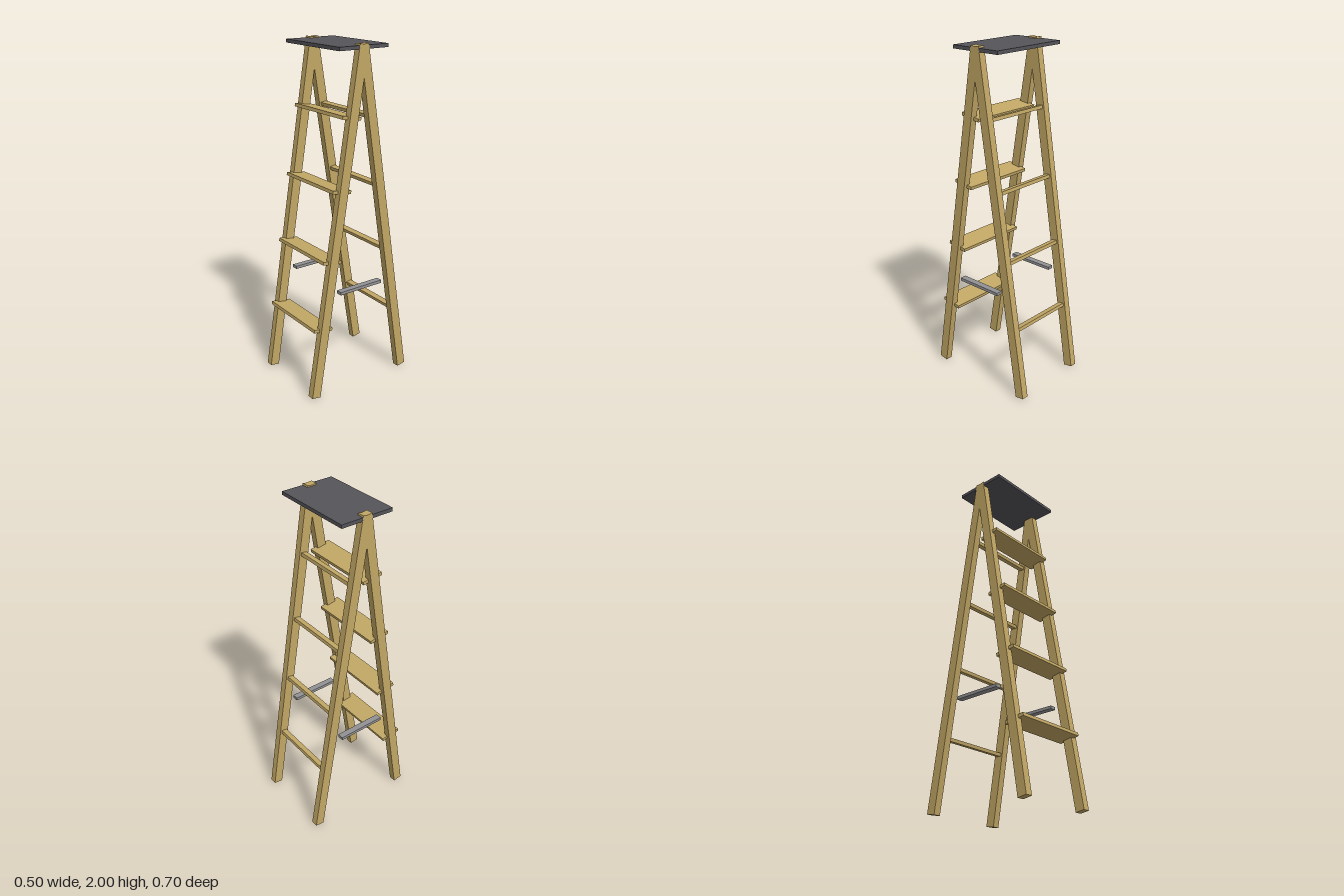
import * as THREE from 'three';

const wood = new THREE.MeshStandardMaterial({ color: 0xc2a765 });
wood.name = 'wood';
const darkPlastic = new THREE.MeshStandardMaterial({ color: 0x55545a });
darkPlastic.name = 'dark plastic';
const greyMetal = new THREE.MeshStandardMaterial({ color: 0x929294 });
greyMetal.name = 'grey metal';

const SPLAY = 0.16; // lean of each frame, in radians
const LEG_LENGTH = 2.017;
const STEP_HEIGHTS = [0.415, 0.815, 1.214, 1.613];

function addBox(parent, name, material, size, position) {
  const mesh = new THREE.Mesh(new THREE.BoxGeometry(...size), material);
  mesh.name = name;
  mesh.position.set(...position);
  parent.add(mesh);
  return mesh;
}

// A leaning frame: two legs with cross pieces square to them; side is 1 for front, -1 for back
function makeFrame(side, name, crossName, crossSize) {
  const frame = new THREE.Group();
  frame.name = name;
  for (const x of [-1, 1]) {
    addBox(frame, name + 'Leg', wood, [0.042, LEG_LENGTH, 0.056], [x * 0.2295, 0, 0]);
  }
  for (const y of STEP_HEIGHTS) {
    addBox(frame, crossName, wood, crossSize, [0, (y - 1) / Math.cos(SPLAY), 0]);
  }
  frame.position.set(0, 1, side * 0.161);
  frame.rotation.x = -side * SPLAY;
  return frame;
}

export function createModel() {
  const ladder = new THREE.Group();
  ladder.name = 'stepLadder';

  // Front frame with wide treads, back frame with narrow rungs
  ladder.add(makeFrame(1, 'front', 'tread', [0.46, 0.019, 0.125]));
  ladder.add(makeFrame(-1, 'back', 'rung', [0.42, 0.02, 0.035]));

  // Top platform, with the leg tops just showing through
  addBox(ladder, 'topPlatform', darkPlastic, [0.499, 0.02, 0.32], [0, 1.98, 0]);

  // Spreader bars between the frames
  for (const x of [-1, 1]) {
    addBox(ladder, 'spreaderBar', greyMetal, [0.038, 0.018, 0.294], [x * 0.23, 0.62, 0]);
  }
  return ladder;
}
